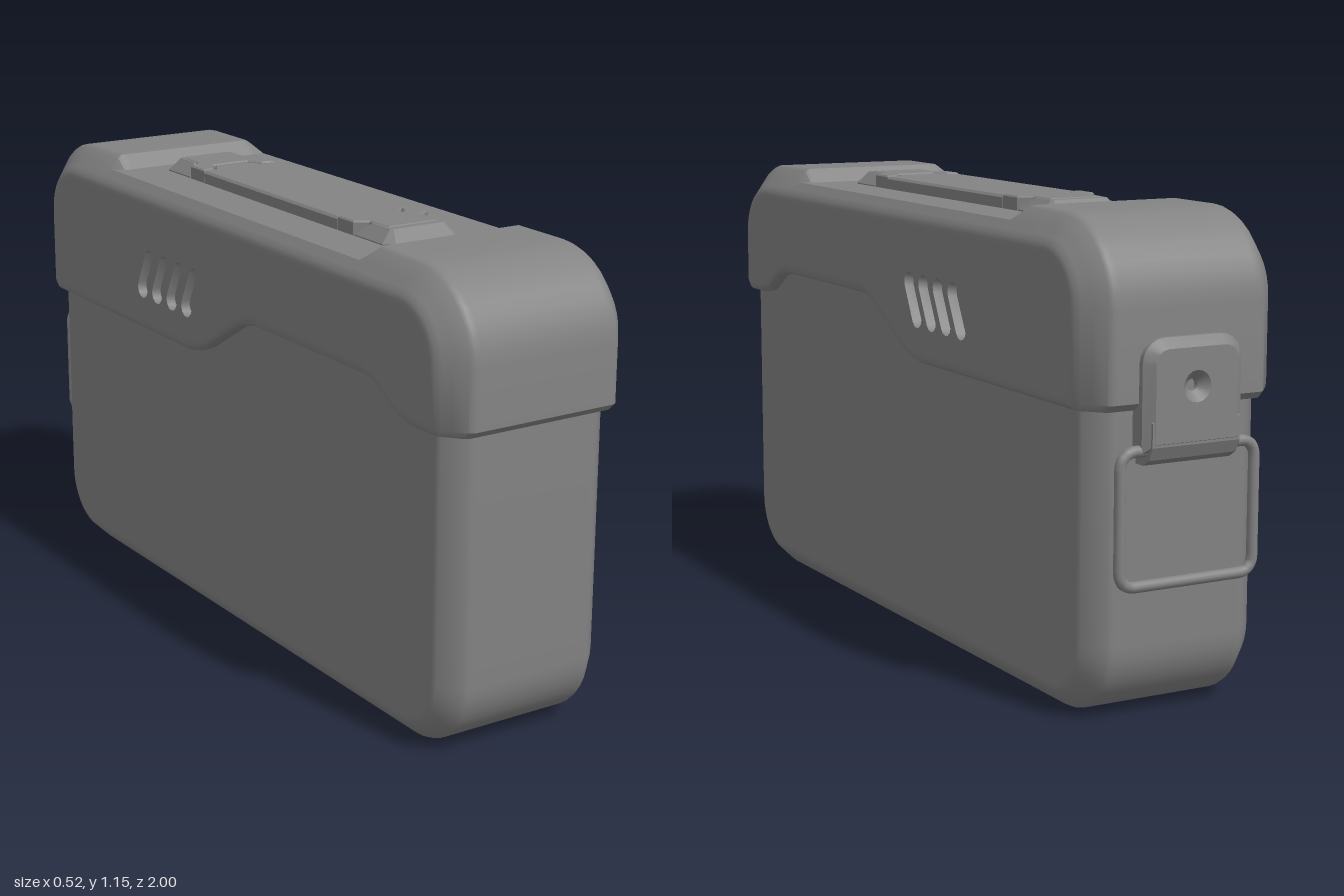
import * as THREE from 'three';
import { toCreasedNormals } from 'three/addons/utils/BufferGeometryUtils.js';

const material = new THREE.MeshStandardMaterial({ color: 0x838383 });

function addMesh(parent, name, geometry) {
  const mesh = new THREE.Mesh(geometry, material);
  mesh.name = name;
  parent.add(mesh);
  return mesh;
}

const V = (x, y) => new THREE.Vector2(x, y);

// Points of an arc in a profile, from angle a to angle b
function arc(cx, cy, r, a, b, n = 9) {
  return Array.from({ length: n + 1 }, (_, i) => {
    const t = a + ((b - a) * i) / n;
    return V(cx + r * Math.cos(t), cy + r * Math.sin(t));
  });
}

// Walls between counter-clockwise rings stacked along w
function pushWalls(out, rings) {
  for (let i = 0; i + 1 < rings.length; i++) {
    const lo = rings[i], hi = rings[i + 1], n = lo.pts.length;
    for (let j = 0; j < n; j++) {
      const k = (j + 1) % n;
      const a = [lo.pts[j].x, lo.pts[j].y, lo.w], b = [lo.pts[k].x, lo.pts[k].y, lo.w];
      const c = [hi.pts[k].x, hi.pts[k].y, hi.w], d = [hi.pts[j].x, hi.pts[j].y, hi.w];
      out.push(...a, ...b, ...c, ...a, ...c, ...d);
    }
  }
}

// Flat face at w, looking along +w or -w according to side
function pushCap(out, contour, holes, w, side) {
  const all = [contour, ...holes].flat();
  for (const [a, b, c] of THREE.ShapeUtils.triangulateShape(contour, holes)) {
    for (const i of side > 0 ? [a, b, c] : [a, c, b]) out.push(all[i].x, all[i].y, w);
  }
}

// Symmetric shell: profile(layer) gives rings in (-z, y); slots become pockets in both sides
function shell(layers, profile, slots = [], depth = 0) {
  const out = [];
  const half = layers.map((l) => ({ w: l.w, pts: profile(l) })); // outermost layer first
  const mirrored = half.map((r) => ({ w: -r.w, pts: r.pts }));
  pushWalls(out, [...mirrored, ...half.slice().reverse()]);
  const { w, pts } = half[0];
  const holes = slots.map((s) => s.slice().reverse());
  for (const side of [1, -1]) {
    pushCap(out, pts, holes, side * w, side);
    slots.forEach((slot, i) => {
      const ends = [side * w, side * (w - depth)].sort((p, q) => p - q);
      pushWalls(out, ends.map((e) => ({ w: e, pts: holes[i] })));
      pushCap(out, slot, [], side * (w - depth), side);
    });
  }
  const g = new THREE.BufferGeometry();
  g.setAttribute('position', new THREE.Float32BufferAttribute(out, 3));
  g.rotateY(Math.PI / 2);
  return toCreasedNormals(g, 0.6);
}

// Plate with chamfered rim, extruded along +z of its own frame
function plate(points, depth, bevel, hole) {
  const shape = new THREE.Shape(points);
  if (hole) shape.holes.push(new THREE.Path(hole));
  const g = new THREE.ExtrudeGeometry(shape, {
    depth: depth - bevel, bevelEnabled: true, bevelSegments: 1,
    bevelSize: bevel, bevelThickness: bevel, bevelOffset: -bevel,
  });
  return toCreasedNormals(g, 0.45);
}

// Lower box outline: rounded bottom corners, top hidden in the lid
function boxProfile({ inset }) {
  const r = 0.18 - inset;
  return [
    ...arc(-0.785, 0.18, r, Math.PI, Math.PI * 1.5),
    ...arc(0.75, 0.18, r, -Math.PI / 2, 0),
    V(0.93 - inset, 0.93), V(-0.965 + inset, 0.93),
  ];
}

// Lid outline: stepped lower edge, rounded top corners, shallow recess for the handle
function lidProfile({ inset, lift }) {
  const r = 0.2 - inset, top = 1.15 - inset, f = -1 + inset, b = 0.965 - inset;
  const edge = [
    [f, 0.807], [f + 0.017, 0.79], [-0.84, 0.79], [-0.79, 0.8], [-0.71, 0.85], [-0.65, 0.862],
    [-0.17, 0.862], [-0.11, 0.845], [0.05, 0.752], [0.09, 0.735], [0.14, 0.724],
    [b - 0.017, 0.724], [b, 0.741],
  ].map(([u, v]) => V(u, v + lift));
  const floor = Math.min(top, 1.115);
  return [
    ...edge,
    ...arc(0.765, 0.95, r, 0, Math.PI / 2),
    V(0.6, top), V(0.565, floor), V(-0.6, floor), V(-0.635, top),
    ...arc(-0.8, 0.95, r, Math.PI / 2, Math.PI),
  ];
}

// Slanted capsule-shaped vent
function ventSlot(i) {
  const u = 0.125 + i * 0.077, v = 0.88, tilt = 0.46, r = 0.026, h = 0.047;
  return [...arc(0, h, r, 0, Math.PI, 6), ...arc(0, -h, r, Math.PI, Math.PI * 2, 6)]
    .map((p) => p.rotateAround(V(0, 0), tilt).add(V(u, v)));
}

const mirrorX = (half) => [
  ...half.map(([x, y]) => V(x, y)),
  ...half.slice().reverse().map(([x, y]) => V(-x, y)),
];

function createHandle() {
  const handle = new THREE.Group();
  handle.name = 'handle';
  const lay = (parent, name, geometry) => {
    const m = addMesh(parent, name, geometry);
    m.rotation.x = -Math.PI / 2;
    m.position.y = 1.11;
  };
  // Grip bar with a narrowed tongue at each end
  const end = [[0.108, 0.315], [0.072, 0.322], [0.05, 0.36]];
  lay(handle, 'grip', plate(mirrorX([...end.map(([x, y]) => [x, -y]).reverse(), ...end]), 0.037, 0.006));
  // Notched bracket around each tongue, with a sloping foot at its outer end
  const bracket = mirrorX([
    [0.052, 0.362], [0.074, 0.324], [0.108, 0.317], [0.108, 0.385], [0.075, 0.405], [0.072, 0.48],
  ]);
  const foot = mirrorX([[0.107, 0.39], [0.107, 0.505], [0.085, 0.53]]);
  for (const turn of [0, Math.PI]) {
    const holder = new THREE.Group();
    holder.name = turn ? 'frontBracket' : 'backBracket';
    holder.rotation.y = turn;
    lay(holder, 'bracketPlate', plate(bracket, 0.04, 0.004));
    lay(holder, 'bracketFoot', plate(foot, 0.038, 0.03));
    handle.add(holder);
  }
  handle.position.z = 0.007;
  return handle;
}

function createLatch() {
  const latch = new THREE.Group();
  latch.name = 'latch';
  // Cover plate with rounded top corners and a rivet hole
  const cover = [
    V(-0.13, 0.63), V(0.13, 0.63),
    ...arc(0.075, 0.83, 0.055, 0, Math.PI / 2, 5),
    ...arc(-0.075, 0.83, 0.055, Math.PI / 2, Math.PI, 5),
  ];
  const rivet = arc(0, 0.775, 0.014, 0, -Math.PI * 2, 16).slice(0, -1);
  const plateMesh = addMesh(latch, 'latchCover', plate(cover, 0.06, 0.022, rivet));
  plateMesh.rotation.y = Math.PI;
  plateMesh.position.z = -0.94;
  // Curled lip below, holding the wire bail
  const lip = new THREE.Shape([
    V(0.92, 0.6), V(0.96, 0.6), V(0.985, 0.615), V(0.999, 0.645), V(0.999, 0.7), V(0.92, 0.75),
  ]);
  const lipGeo = new THREE.ExtrudeGeometry(lip, { depth: 0.23, bevelEnabled: false });
  lipGeo.translate(0, 0, -0.115).rotateY(Math.PI / 2);
  addMesh(latch, 'latchLip', lipGeo);
  // Rectangular wire bail with rounded corners
  const r = 0.035, x = 0.178 - r, y0 = 0.328 + r, y1 = 0.635 - r, q = Math.PI / 2;
  const path = new THREE.CurvePath();
  const pts = [[x, y1], [-x, y1], [-x, y0], [x, y0]]
    .flatMap(([cx, cy], i) => arc(cx, cy, r, i * q, (i + 1) * q, 5))
    .map((p) => new THREE.Vector3(p.x, p.y, -0.967));
  pts.forEach((p, i) => path.add(new THREE.LineCurve3(p, pts[(i + 1) % pts.length])));
  addMesh(latch, 'wireBail', new THREE.TubeGeometry(path, 160, 0.0135, 10, true));
  return latch;
}

export function createModel() {
  const model = new THREE.Group();
  model.name = 'ammoCan';
  // Layers run from the flat side inwards across a softened bevel
  const boxLayers = [[0.23, 0.07], [0.23, 0.06], [0.2265, 0.046], [0.184, 0.0045], [0.173, 0], [0.16, 0]]
    .map(([w, inset]) => ({ w, inset }));
  addMesh(model, 'box', shell(boxLayers, boxProfile));
  const lidLayers = [
    [0.26, 0.09, 0.03], [0.26, 0.08, 0.018], [0.2565, 0.066, 0.008], [0.246, 0.0537, 0],
    [0.23, 0.035, 0], [0.206, 0.007, 0], [0.195, 0, 0], [0.18, 0, 0],
  ].map(([w, inset, lift]) => ({ w, inset, lift }));
  addMesh(model, 'lid', shell(lidLayers, lidProfile, [0, 1, 2, 3].map(ventSlot), 0.025));
  model.add(createHandle(), createLatch());
  return model;
}
